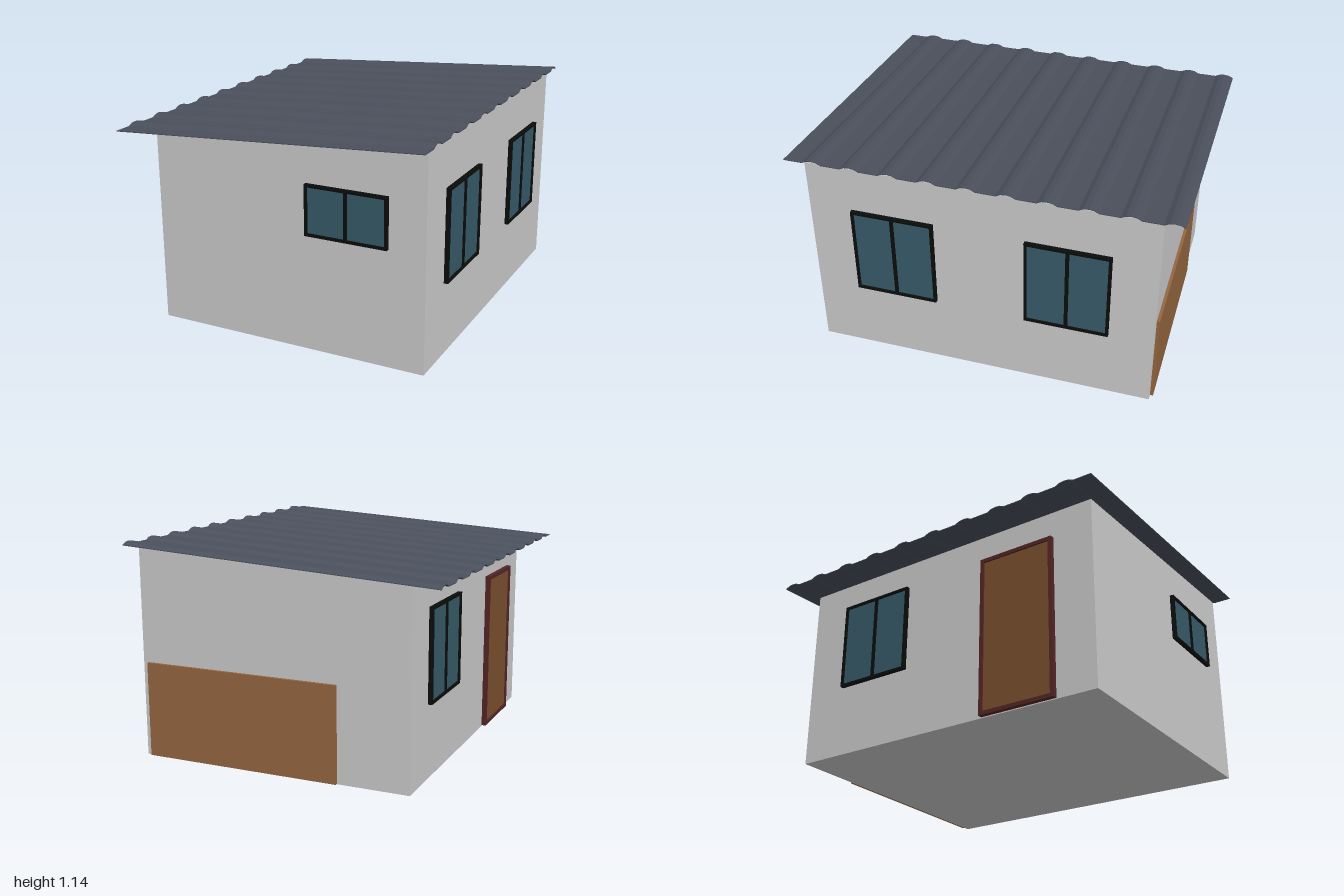
import * as THREE from 'three';

const paint = (color) => new THREE.MeshStandardMaterial({ color, flatShading: true });
const wallMat = paint(0xcccccc);
const frameMat = paint(0x0a0d0b);
const glassMat = paint(0x365a69);
const boardMat = paint(0x956641);
const doorMat = paint(0x7a502e);
const doorFrameMat = paint(0x552525);
const roofMat = paint(0x4a505c);

const WALL = { left: -0.665, right: 0.815, z: 0.9 };

function box(name, mat, w, h, d, x, y, z) {
  const mesh = new THREE.Mesh(new THREE.BoxGeometry(w, h, d), mat);
  mesh.name = name;
  mesh.position.set(x, y, z);
  return mesh;
}

// Rectangular frame with an opening, standing out along +z from z = 0
function frame(name, mat, w, h, border, depth) {
  const rect = (T, a, b) => new T([
    new THREE.Vector2(-a, -b), new THREE.Vector2(a, -b),
    new THREE.Vector2(a, b), new THREE.Vector2(-a, b),
  ]);
  const shape = rect(THREE.Shape, w / 2, h / 2);
  shape.holes.push(rect(THREE.Path, w / 2 - border, h / 2 - border));
  const mesh = new THREE.Mesh(new THREE.ExtrudeGeometry(shape, { depth, bevelEnabled: false }), mat);
  mesh.name = name;
  return mesh;
}

// Two-pane window: frame, middle bar and recessed glass
function makeWindow(name, w, h) {
  const g = new THREE.Group();
  g.name = name;
  g.add(frame('windowFrame', frameMat, w, h, 0.014, 0.022));
  g.add(box('windowBar', frameMat, 0.018, h - 0.02, 0.02, 0, 0, 0.01));
  g.add(box('windowGlass', glassMat, w - 0.02, h - 0.02, 0.012, 0, 0, 0.006));
  return g;
}

// Door with a raised surround
function makeDoor(w, h) {
  const g = new THREE.Group();
  g.name = 'door';
  g.add(frame('doorFrame', doorFrameMat, w, h, 0.02, 0.025));
  g.add(box('doorPanel', doorMat, w - 0.03, h - 0.03, 0.016, 0, 0, 0.008));
  return g;
}

// Corrugated sheet: ridged profile across z, run along x and sheared to the slope
function makeRoof() {
  const top = [[-1, 0]];
  for (let i = 0; i < 10; i++) {
    const c = -0.95 + 0.2 * i;
    for (const [dz, y] of [[-0.05, 0], [-0.026, 0.012], [0, 0.015], [0.026, 0.012], [0.05, 0]]) {
      if (c + dz > -0.999) top.push([c + dz, y]);
    }
  }
  top.push([1, 0]);
  const under = top.map(([z, y]) => [z, y - 0.004]).reverse();
  const shape = new THREE.Shape([...under, ...top].map(([z, y]) => new THREE.Vector2(z, y)));
  const geo = new THREE.ExtrudeGeometry(shape, { depth: 1.68, bevelEnabled: false });
  geo.rotateY(-Math.PI / 2).translate(0.84, 0, 0);
  const p = geo.attributes.position;
  for (let i = 0; i < p.count; i++) p.setY(i, p.getY(i) + 1.076 + p.getX(i) * 0.06);
  geo.computeVertexNormals();
  const mesh = new THREE.Mesh(geo, roofMat);
  mesh.name = 'roof';
  return mesh;
}

export function createModel() {
  const model = new THREE.Group();
  model.name = 'shed';

  // Walls: sloping-topped block
  const side = new THREE.Shape([
    new THREE.Vector2(WALL.left, 0), new THREE.Vector2(WALL.right, 0),
    new THREE.Vector2(WALL.right, 1.115), new THREE.Vector2(WALL.left, 1.017),
  ]);
  const walls = new THREE.Mesh(
    new THREE.ExtrudeGeometry(side, { depth: 2 * WALL.z, bevelEnabled: false }), wallMat);
  walls.name = 'walls';
  walls.position.z = -WALL.z;
  model.add(walls, makeRoof());

  // Front window
  const front = makeWindow('frontWindow', 0.435, 0.262);
  front.position.set(0.408, 0.741, WALL.z);
  model.add(front);

  // Pair of windows on the tall side
  for (const s of [-1, 1]) {
    const win = makeWindow(s > 0 ? 'sideWindowFront' : 'sideWindowBack', 0.435, 0.485);
    win.rotation.y = Math.PI / 2;
    win.position.set(WALL.right, 0.629, s * 0.453);
    model.add(win);
  }

  // Window and door on the low side
  const lowWindow = makeWindow('lowSideWindow', 0.435, 0.485);
  lowWindow.rotation.y = -Math.PI / 2;
  lowWindow.position.set(WALL.left, 0.629, -0.448);
  const door = makeDoor(0.425, 0.865);
  door.rotation.y = -Math.PI / 2;
  door.position.set(WALL.left, 0.438, 0.468);
  model.add(lowWindow, door);

  // Wooden board at the back
  model.add(box('backBoard', boardMat, 1.07, 0.502, 0.016, 0.25, 0.253, -WALL.z - 0.008));

  return model;
}
